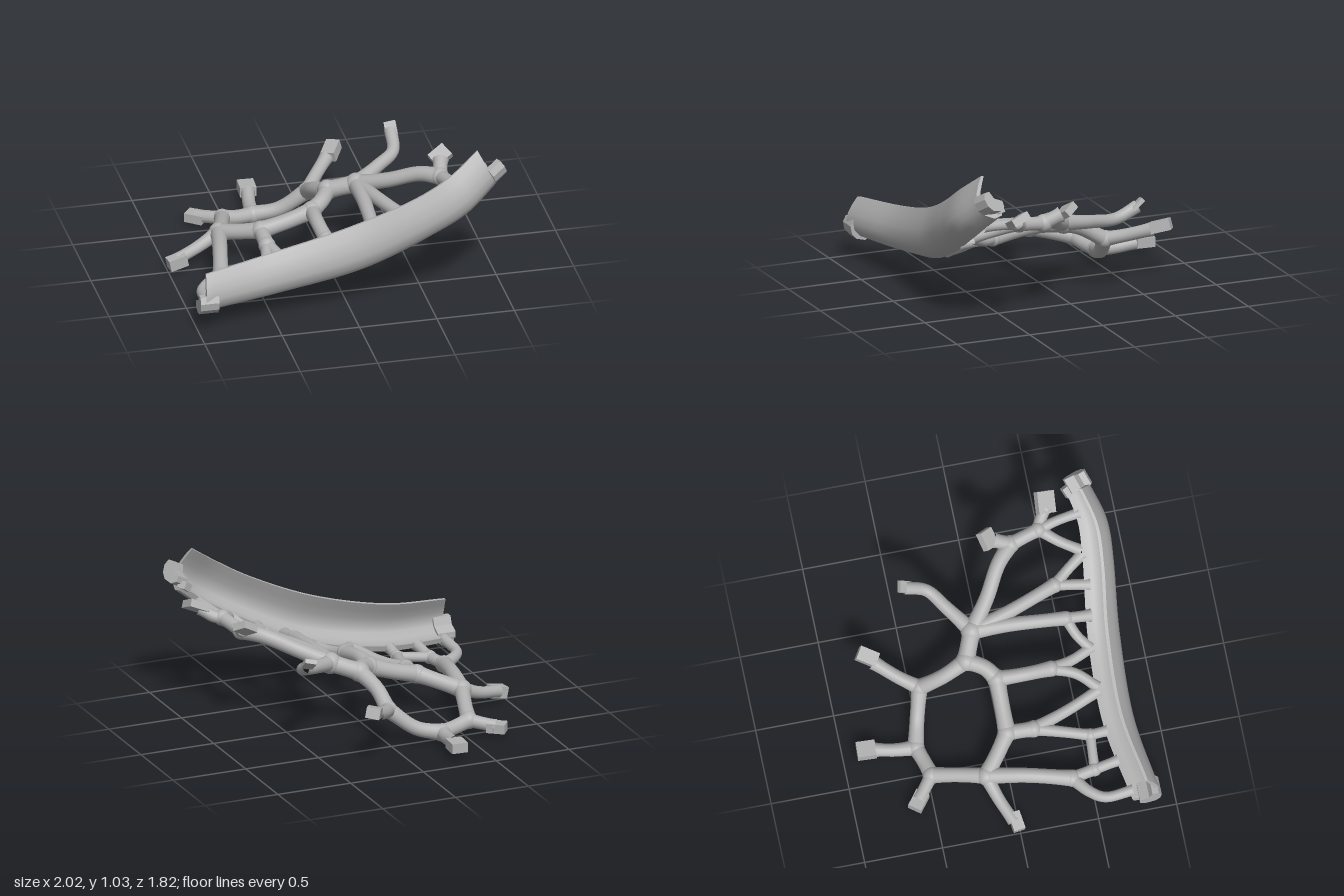
import * as THREE from 'three';
import { toCreasedNormals } from 'three/addons/utils/BufferGeometryUtils.js';

const V = (p) => new THREE.Vector3(...p);
const grey = new THREE.MeshStandardMaterial({ color: 0xb2b2b2 });
grey.name = 'plain grey';

function add(parent, name, geometry) {
  const mesh = new THREE.Mesh(geometry, grey);
  mesh.name = name;
  parent.add(mesh);
  return mesh;
}

// Curved channel rail: a blade section swept between a top, a front and a lip curve
function railGeometry() {
  const top = new THREE.CatmullRomCurve3([[-.95, .41, 0], [-.5, .47, 0], [0, .6, 0], [.4, .77, 0], [.62, .9, 0], [.82, 1.04, 0]].map(V));
  const low = new THREE.CatmullRomCurve3([[-.975, .14, .72], [-.45, .175, .635], [.1, .29, .645], [.55, .515, .7], [.76, .64, .71], [.95, .79, .66]].map(V));
  const front = new THREE.CatmullRomCurve3([[0, 0, .9], [1, 0, .83], [2, 0, .845], [3, 0, .89], [4, 0, .89], [5, 0, .82]].map(V));
  // u: lip to front, v: bottom to top
  const outer = [[.59, 1], [.78, .82], [.93, .62], [1, .42], [.95, .24], [.73, .09], [.37, 0], [.05, .05]];
  const inner = [[0, .17], [.3, .13], [.58, .2], [.77, .31], [.83, .44], [.77, .62], [.63, .81], [.49, .99]];
  const outline = [...outer, ...inner];
  const n = outline.length, steps = 48, pos = [], index = [];
  for (let i = 0; i <= steps; i++) {
    const a = top.getPoint(i / steps), b = low.getPoint(i / steps), f = front.getPoint(i / steps);
    for (const [u, v] of outline) {
      pos.push(b.x + (a.x - b.x) * v, b.y + (a.y - b.y) * v, b.z + (f.z - b.z) * u);
    }
  }
  for (let i = 0; i < steps; i++) {
    for (let j = 0; j < n; j++) {
      const a = i * n + j, b = i * n + (j + 1) % n;
      index.push(a, b, a + n, b, b + n, a + n);
    }
  }
  const e = steps * n;
  for (let j = 0; j < n / 2 - 1; j++) {
    const a = j, b = j + 1, c = n - 2 - j, d = n - 1 - j;
    index.push(a, c, b, a, d, c, e + a, e + b, e + c, e + a, e + c, e + d);
  }
  const g = new THREE.BufferGeometry();
  g.setAttribute('position', new THREE.Float32BufferAttribute(pos, 3));
  g.setIndex(index);
  return toCreasedNormals(g, .8);
}

// End tab of the rail: a hooked section, centred, extruded along x
function tabGeometry(length) {
  const points = [[.05, .07], [.07, .03], [.06, -.02], [.03, -.055], [-.03, -.07], [-.07, -.05], [-.07, -.01], [-.01, .02], [.01, .07]];
  const shape = new THREE.Shape(points.map(([z, y]) => new THREE.Vector2(-z, y)));
  const g = new THREE.ExtrudeGeometry(shape, { depth: length, bevelEnabled: false });
  return g.translate(0, 0, -length / 2).rotateY(Math.PI / 2);
}

// Tube whose radius runs from r0 to r1 and flares where it meets a joint
function branchGeometry(points, r0, r1) {
  const curve = new THREE.CatmullRomCurve3(points.map(V));
  const segs = 20, sides = 16;
  const g = new THREE.TubeGeometry(curve, segs, 1, sides, false);
  const p = g.attributes.position, q = new THREE.Vector3();
  for (let i = 0; i <= segs; i++) {
    const t = i / segs, c = curve.getPointAt(t);
    const r = (r0 + (r1 - r0) * t) * (1.06 + .2 * Math.abs(2 * t - 1) ** 3);
    for (let j = 0; j <= sides; j++) {
      const k = i * (sides + 1) + j;
      q.fromBufferAttribute(p, k).sub(c).multiplyScalar(r).add(c);
      p.setXYZ(k, q.x, q.y, q.z);
    }
  }
  return g;
}

export function createModel() {
  const model = new THREE.Group();
  model.name = 'branchingBracket';

  add(model, 'rail', railGeometry());

  // Joints of the branch network: x, y, z, radius
  const J = {
    a: [-.54, .1, -.48, .057], b: [-.33, .07, -.54, .058], c: [0, .24, -.45, .058],
    d: [.06, .4, -.14, .066], e: [-.08, .355, .03, .063], f: [-.41, .255, .03, .062],
    g: [-.64, .18, -.15, .062], h: [.23, .46, -.07, .07],
    k: [-.75, .15, .38, .056], l: [-.72, .15, .53, .045], m: [-.5, .18, .545, .043],
    n: [-.41, .235, .2, .055], o: [-.07, .33, .38, .052], p: [.21, .42, .53, .047],
    q: [.42, .48, .5, .05], r: [.69, .63, .27, .058], s: [.74, .66, .46, .052],
  };
  const joints = new THREE.Group();
  joints.name = 'joints';
  model.add(joints);
  for (const [x, y, z, r] of Object.values(J)) {
    add(joints, 'joint', new THREE.SphereGeometry(r, 20, 14)).position.set(x, y, z);
  }

  // Each branch: start, end, start radius, end radius, points between
  const branches = new THREE.Group();
  branches.name = 'branches';
  model.add(branches);
  const at = (p) => (typeof p === 'string' ? J[p].slice(0, 3) : p);
  const branch = (from, to, r0, r1, ...mid) =>
    add(branches, 'branch', branchGeometry([at(from), ...mid, at(to)], r0, r1));

  // Ring
  branch('a', 'b', .044, .044, [-.44, .08, -.505]);
  branch('b', 'c', .044, .044, [-.17, .11, -.5]);
  branch('c', 'd', .044, .046, [.01, .33, -.3]);
  branch('d', 'e', .048, .048, [-.005, .385, -.03]);
  branch('e', 'f', .048, .048, [-.24, .3, .03]);
  branch('f', 'g', .047, .047, [-.53, .215, -.06]);
  branch('g', 'a', .044, .044, [-.585, .14, -.32]);
  branch('d', 'h', .052, .052);
  // Struts to the rail
  branch('g', 'k', .046, .043, [-.69, .19, .1]);
  branch('k', 'l', .038, .034);
  branch('l', [-.7, .18, .69], .031, .032);
  branch('k', [-.91, .17, .74], .036, .029, [-.86, .15, .47], [-.915, .15, .56]);
  branch('l', 'm', .029, .029);
  branch('m', [-.5, .2, .66], .031, .032);
  branch('f', 'n', .046, .044);
  branch('n', 'm', .036, .031, [-.46, .2, .4]);
  branch('n', [-.24, .24, .65], .036, .032, [-.33, .22, .42]);
  branch('e', 'o', .044, .041, [-.085, .36, .2]);
  branch('o', [-.22, .25, .65], .034, .03, [-.12, .29, .53]);
  branch('o', [.03, .3, .66], .034, .03, [-.03, .3, .52]);
  branch('h', 'p', .048, .037, [.225, .46, .15], [.215, .44, .38]);
  branch('p', [.03, .3, .65], .031, .03, [.11, .35, .58]);
  branch('p', [.21, .39, .69], .033, .034);
  branch('h', 'q', .044, .038, [.3, .48, .18]);
  branch('q', [.39, .46, .72], .032, .032);
  branch('q', [.57, .55, .71], .032, .032, [.5, .5, .6]);
  branch('h', 'r', .046, .044, [.4, .53, .06], [.58, .61, .17]);
  branch('r', 's', .042, .039);
  branch('s', [.59, .56, .7], .034, .03, [.66, .61, .57]);
  branch('s', [.79, .69, .73], .031, .029, [.77, .68, .59]);
  // Free arms
  branch('a', [-.68, .075, -.59], .04, .037);
  branch('b', [-.3, .09, -.8], .043, .037, [-.32, .07, -.67]);
  branch('c', [.19, .33, -.71], .041, .038, [.08, .275, -.57]);
  branch('g', [-.94, .08, -.03], .041, .033, [-.78, .12, -.1]);
  branch('h', [.54, .61, -.44], .044, .034, [.4, .5, -.2], [.52, .54, -.3]);
  branch('r', [.72, .685, .16], .044, .042);
  branch('s', [.86, .715, .53], .037, .035, [.79, .67, .48]);

  // Mounting pads at the arm ends: centre, size, rotation
  const pads = [
    [[-.685, .07, -.59], [.12, .06, .09], [0, -.65, 0]],
    [[-.295, .095, -.85], [.105, .065, .12], [0, -.05, 0]],
    [[.225, .355, -.74], [.09, .07, .13], [.3, -.5, .3]],
    [[-.94, .075, -.015], [.12, .075, .075], [0, .15, .2]],
    [[.54, .625, -.44], [.075, .03, .09], [.7, 0, .3]],
    [[.725, .7, .13], [.12, .05, .1], [.5, .5, .3]],
    [[.885, .735, .53], [.14, .05, .12], [.4, .1, .4]],
  ];
  for (const [centre, size, turn] of pads) {
    const pad = add(model, 'mountingPad', new THREE.BoxGeometry(...size));
    pad.position.set(...centre);
    pad.rotation.set(...turn);
  }

  // Hooked tabs where the rail ends join their neighbours
  const leftTab = add(model, 'railTab', tabGeometry(.12));
  leftTab.position.set(-.94, .21, .835);
  const rightTab = add(model, 'railTab', tabGeometry(.1));
  rightTab.position.set(.93, .885, .75);
  rightTab.rotation.set(0, .4, .5);
  add(model, 'railClip', new THREE.BoxGeometry(.06, .04, .05)).position.set(-.91, .16, .74);
  const clip = add(model, 'railClip', new THREE.BoxGeometry(.07, .05, .06));
  clip.position.set(.9, .82, .68);
  clip.rotation.set(0, .5, .6);
  return model;
}
